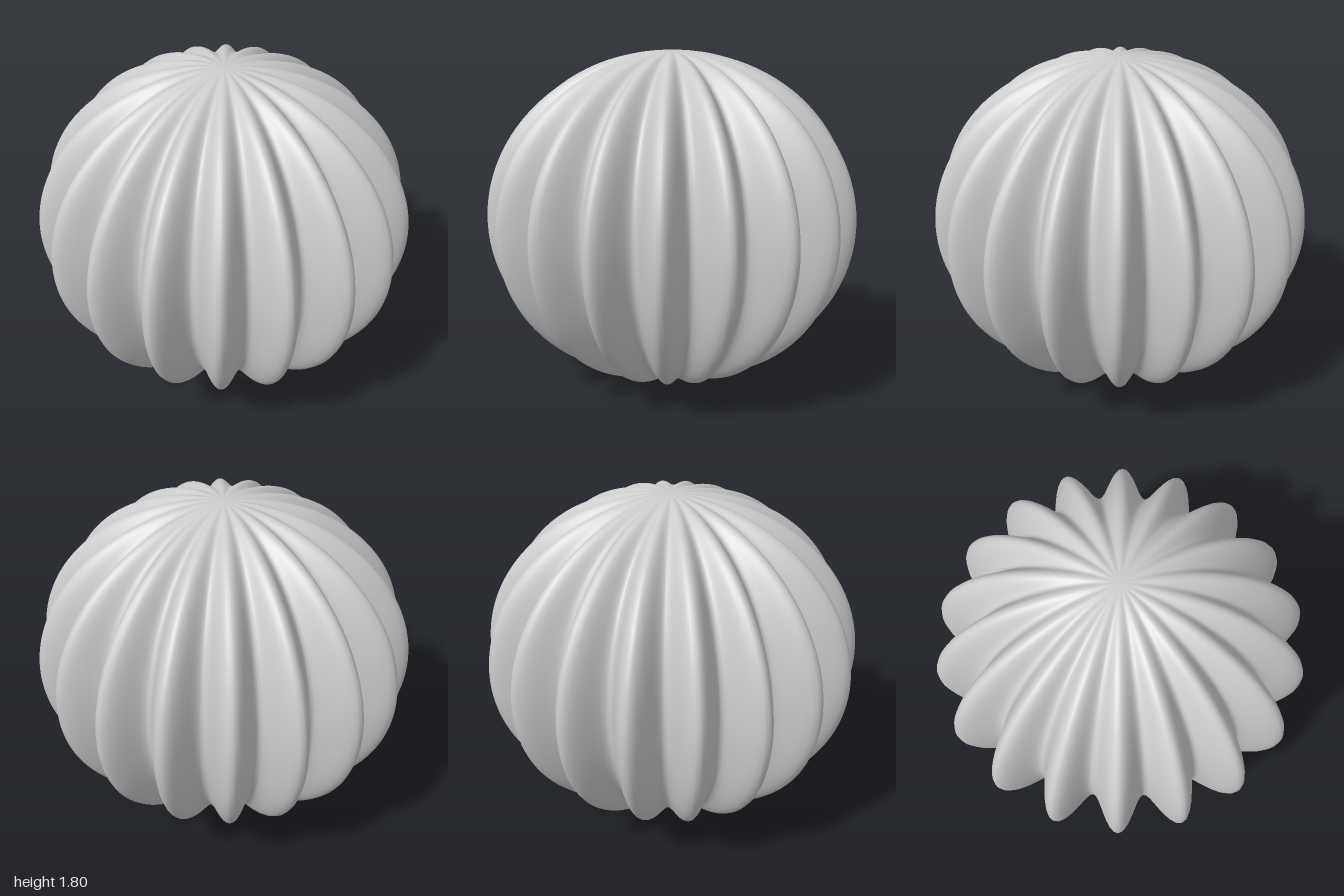
import * as THREE from 'three';
import { mergeVertices } from 'three/addons/utils/BufferGeometryUtils.js';

const RIBS = 18;
const HALF_HEIGHT = 0.9;
const MEAN_RADIUS = 0.9;
const RIB_DEPTH = 0.1;

// Flattened sphere whose radius swells and dips in a cosine wave around the axis
function ribbedBody() {
  const geometry = new THREE.SphereGeometry(1, RIBS * 16, 96);
  const position = geometry.attributes.position;
  for (let i = 0; i < position.count; i++) {
    const x = position.getX(i), y = position.getY(i), z = position.getZ(i);
    const radius = MEAN_RADIUS + RIB_DEPTH * Math.cos(RIBS * Math.atan2(z, x));
    position.setXYZ(i, x * radius, HALF_HEIGHT * (y + 1), z * radius);
  }
  // Weld the seam and poles so the normals stay smooth all round
  geometry.deleteAttribute('normal');
  geometry.deleteAttribute('uv');
  const welded = mergeVertices(geometry, 1e-5);
  welded.computeVertexNormals();
  return welded;
}

export function createModel() {
  const model = new THREE.Group();
  model.name = 'ribbedGlobe';
  const body = new THREE.Mesh(
    ribbedBody(),
    new THREE.MeshStandardMaterial({ color: 0xcccccc })
  );
  body.name = 'ribbedBody';
  model.add(body);
  return model;
}
